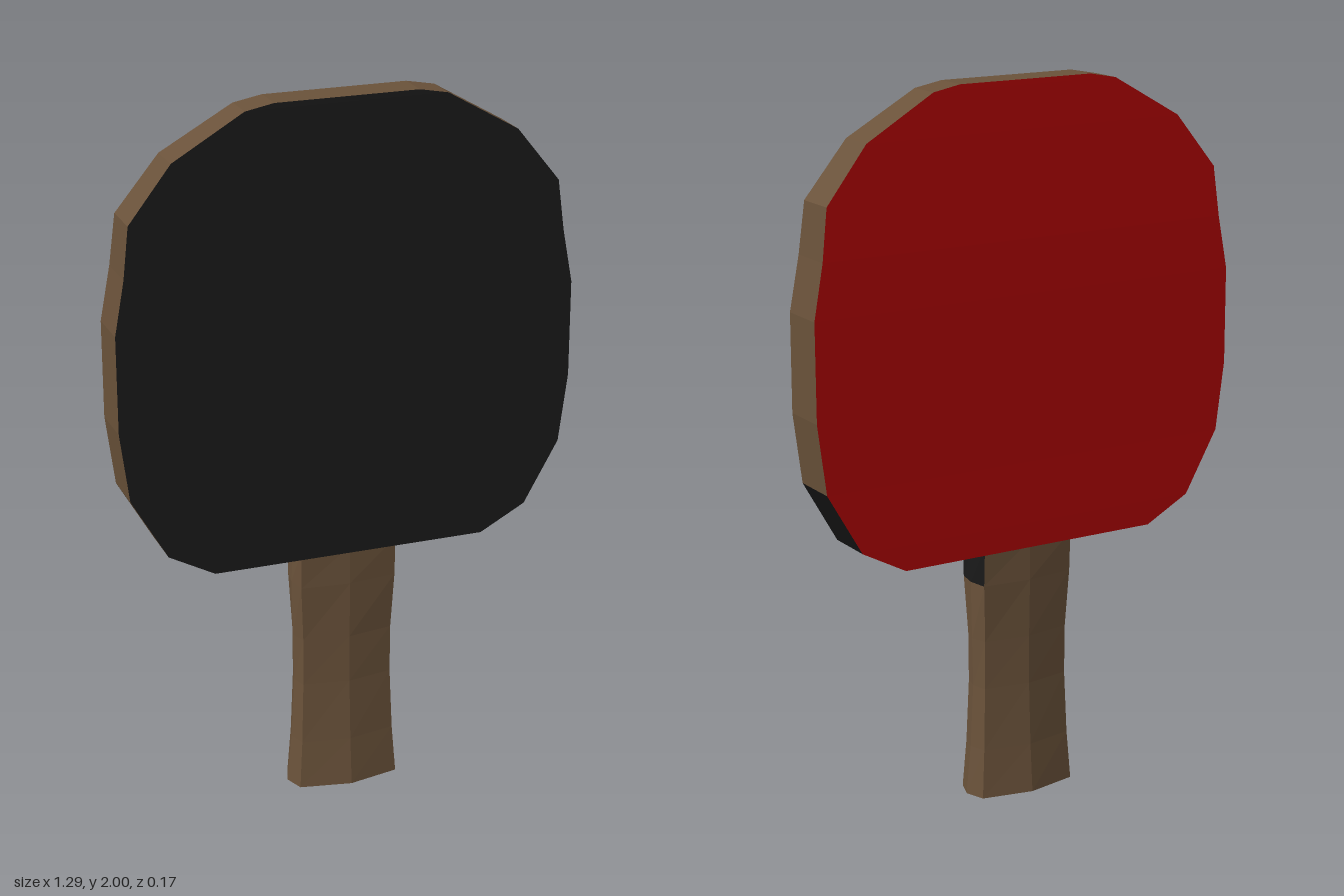
import * as THREE from 'three';

// Flat-shaded skin over rows of points; seen from outside, rows run upward and points run rightward
function skin(name, rows, material) {
  const pos = [];
  for (let i = 0; i < rows.length - 1; i++) {
    for (let j = 0; j < rows[i].length - 1; j++) {
      const a = rows[i][j], b = rows[i][j + 1], c = rows[i + 1][j + 1], d = rows[i + 1][j];
      pos.push(...a, ...b, ...c, ...a, ...c, ...d);
    }
  }
  const g = new THREE.BufferGeometry();
  g.setAttribute('position', new THREE.Float32BufferAttribute(pos, 3));
  g.computeVertexNormals();
  const mesh = new THREE.Mesh(g, material);
  mesh.name = name;
  return mesh;
}

export function createModel() {
  const mat = (name, color) => Object.assign(new THREE.MeshStandardMaterial({ color }), { name });
  const wood = mat('wood', 0x6a523a);
  const black = mat('blackRubber', 0x191919);
  const red = mat('redRubber', 0xaa0202);

  const model = new THREE.Group();
  model.name = 'paddle';

  // Blade outline, bottom to top: y, half width, half thickness
  const outline = [
    [0.72, 0.39, 0.072], [0.79, 0.52, 0.072], [0.965, 0.62, 0.07], [1.16, 0.645, 0.07],
    [1.43, 0.645, 0.069], [1.58, 0.617, 0.067], [1.72, 0.6, 0.062], [1.87, 0.48, 0.055],
    [1.985, 0.28, 0.049], [2.0, 0.2, 0.048],
  ];
  const front = outline.map(([y, x, z]) => [[-x, y, z], [x, y, z]]);
  const back = outline.map(([y, x, z]) => [[x, y, -z], [-x, y, -z]]);
  const blade = new THREE.Group();
  blade.name = 'blade';
  blade.add(skin('frontRubber', front, black), skin('backRubber', back, red));

  // Blade rim: dark below, wood above; the dark part reaches higher on the left
  for (const [label, s, split] of [['left', 1, 2], ['right', -1, 1]]) {
    const side = outline.map(([y, x, z]) => [[s * x, y, s * z], [s * x, y, -s * z]]);
    blade.add(skin(label + 'LowerRim', side.slice(0, split + 1), black));
    blade.add(skin(label + 'UpperRim', side.slice(split), wood));
  }
  const flip = (row) => [row[1], row[0]];
  const last = outline.length - 1;
  blade.add(skin('topRim', [front[last], flip(back[last])], wood));
  blade.add(skin('bottomRim', [flip(back[0]), front[0]], black));
  model.add(blade);

  // Handle sections: y, side ridge x, corner x, corner z, middle ridge z
  const ring = ([y, xs, xc, zc, zr]) => [
    [0, y, zr], [xc, y, zc], [xs, y, 0], [xc, y, -zc],
    [0, y, -zr], [-xc, y, -zc], [-xs, y, 0], [-xc, y, zc], [0, y, zr],
  ];
  const rings = [
    [0, 0.165, 0.145, 0.056, 0.085],
    [0.14, 0.151, 0.136, 0.049, 0.074],
    [0.32, 0.142, 0.13, 0.044, 0.066],
    [0.46, 0.145, 0.13, 0.046, 0.066],
    [0.625, 0.148, 0.138, 0.055, 0.07],
    [0.74, 0.141, 0.138, 0.06, 0.07],
  ].map(ring);
  const handle = new THREE.Group();
  handle.name = 'handle';
  handle.add(skin('grip', rings.slice(0, 5), wood));

  // Neck: wood, with a dark left side where it meets the blade
  const neck = rings.slice(4);
  const part = (from, to) => neck.map((r) => r.slice(from, to + 1));
  handle.add(skin('leftNeck', part(1, 3), black));
  handle.add(skin('frontNeck', part(0, 1), wood), skin('backNeck', part(3, 8), wood));

  // Dark butt of the handle
  handle.add(skin('handleEnd', [rings[0].map(() => [0, 0, 0]), rings[0]], black));
  model.add(handle);
  return model;
}
